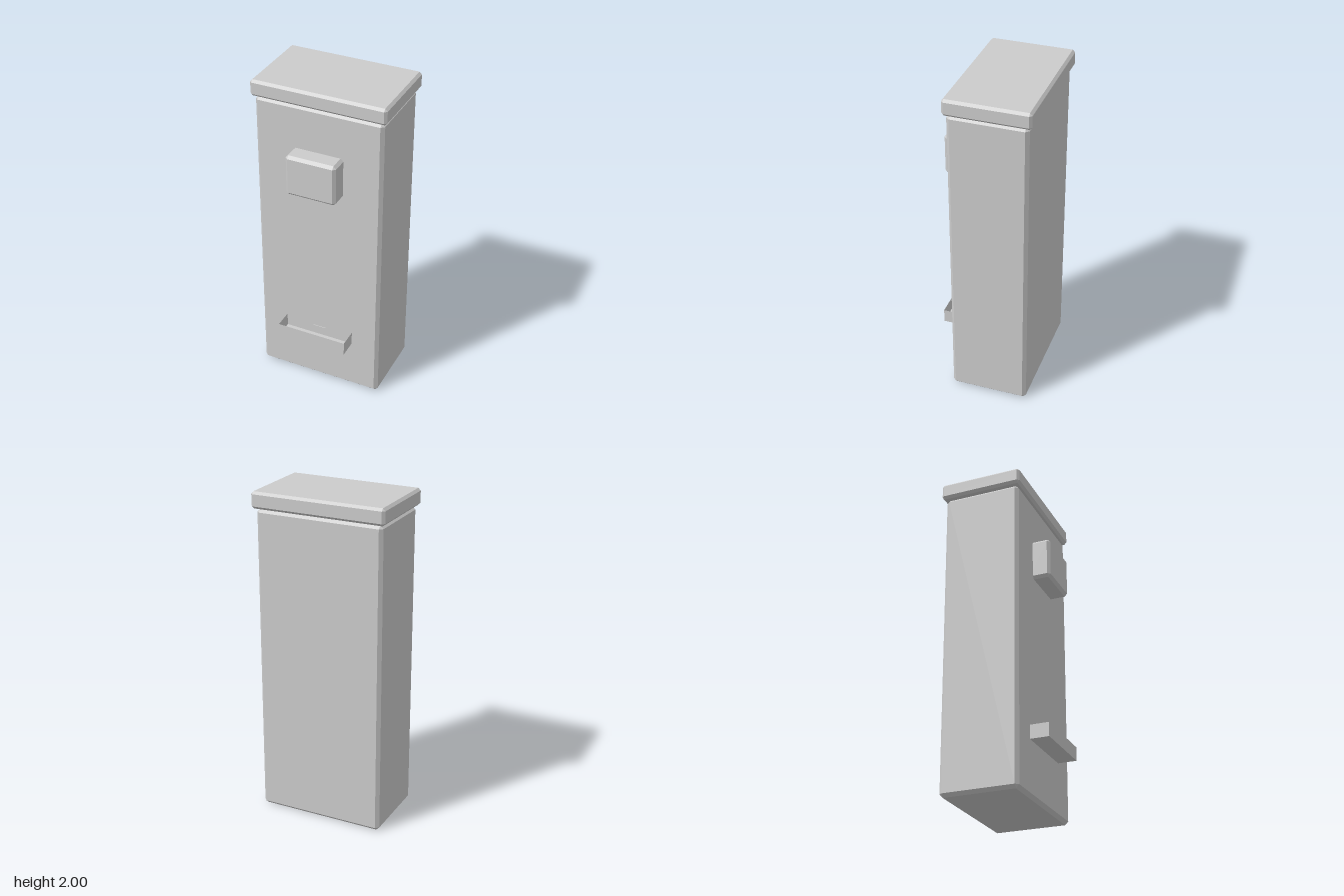
import * as THREE from 'three';
import { ConvexGeometry } from 'three/addons/geometries/ConvexGeometry.js';

const grey = new THREE.MeshStandardMaterial({ color: 0xcccccc, side: THREE.DoubleSide });
grey.name = 'plain grey';

// Box between two corners, with every edge chamfered by b
function chamferedBox(name, min, max, b) {
  const points = [];
  for (const sx of [0, 1]) for (const sy of [0, 1]) for (const sz of [0, 1]) {
    const s = [sx, sy, sz];
    for (let axis = 0; axis < 3; axis++) {
      const c = s.map((side, i) => {
        const inset = i === axis ? 0 : b;
        return side ? max[i] - inset : min[i] + inset;
      });
      points.push(new THREE.Vector3(...c));
    }
  }
  const mesh = new THREE.Mesh(new ConvexGeometry(points), grey);
  mesh.name = name;
  return mesh;
}

// Thin sheet, placed and turned
function sheet(name, w, h, position, rx = 0, ry = 0) {
  const mesh = new THREE.Mesh(new THREE.PlaneGeometry(w, h), grey);
  mesh.name = name;
  mesh.position.set(...position);
  mesh.rotation.set(rx, ry, 0);
  return mesh;
}

export function createModel() {
  const model = new THREE.Group();
  model.name = 'cabinet';

  // Cabinet, overhanging lid and the raised box on the front
  model.add(
    chamferedBox('body', [-0.393, 0, -0.283], [0.393, 1.897, 0.19], 0.02),
    chamferedBox('lid', [-0.414, 1.9, -0.305], [0.414, 2, 0.207], 0.015),
    chamferedBox('frontBox', [-0.156, 1.373, 0.15], [0.156, 1.627, 0.298], 0.017)
  );

  // Open-topped tray made of thin sheets
  const tray = new THREE.Group();
  tray.name = 'tray';
  const w = 0.44, h = 0.084, y = 0.33, back = 0.19, front = 0.305;
  const depth = front - back, midZ = (front + back) / 2;
  tray.add(sheet('trayFront', w, h, [0, y + h / 2, front]));
  tray.add(sheet('trayFloor', w, depth, [0, y, midZ], -Math.PI / 2));
  for (const s of [-1, 1]) {
    tray.add(sheet(s < 0 ? 'traySideRight' : 'traySideLeft', depth, h,
      [s * w / 2, y + h / 2, midZ], 0, s * Math.PI / 2));
  }
  model.add(tray);

  // Narrow lip on the body inside the tray
  const lip = new THREE.Mesh(new THREE.BoxGeometry(0.085, 0.006, 0.006), grey);
  lip.name = 'trayLip';
  lip.position.set(0, 0.388, 0.191);
  model.add(lip);

  return model;
}
